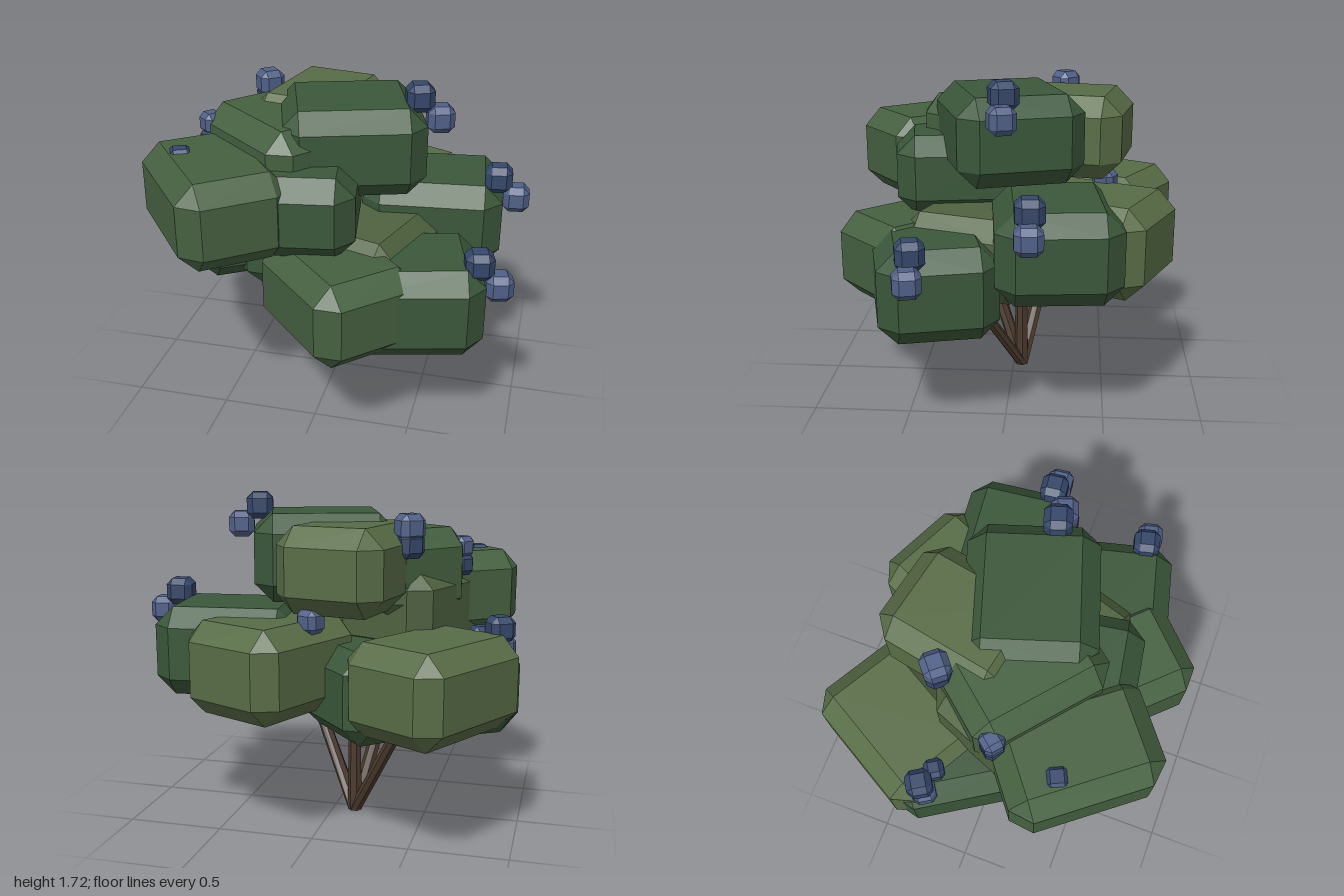
import * as THREE from 'three';
import { ConvexGeometry } from 'three/addons/geometries/ConvexGeometry.js';

const material = (color) => new THREE.MeshStandardMaterial({ color, flatShading: true });
const greens = {
  dark: material(0x3b573a),
  mid: material(0x456040),
  olive: material(0x4f623f),
  light: material(0x586c46),
};
const berryDark = material(0x35476a);
const berryLight = material(0x506088);
const bark = material(0x4a3a2d);

// Box with every edge cut off at 45 degrees, three points per corner
function chamferBox(w, h, d, c) {
  const points = [];
  for (const sx of [-1, 1]) for (const sy of [-1, 1]) for (const sz of [-1, 1]) {
    const x = w / 2, y = h / 2, z = d / 2;
    points.push(
      new THREE.Vector3(sx * x, sy * (y - c), sz * (z - c)),
      new THREE.Vector3(sx * (x - c), sy * y, sz * (z - c)),
      new THREE.Vector3(sx * (x - c), sy * (y - c), sz * z),
    );
  }
  return new ConvexGeometry(points);
}

export function createModel() {
  const group = new THREE.Group();

  // Leaf clumps: x, z, bottom, top, width, depth, yaw in degrees, green
  const clumps = [
    [0.07, 0.015, 1.18, 1.63, 0.73, 0.65, 18, 'dark'],
    [-0.515, 0.45, 0.965, 1.415, 0.56, 0.78, 38, 'mid'],
    [-0.265, 0.09, 1.1, 1.555, 0.74, 0.56, -40, 'mid'],
    [-0.39, 0.11, 0.91, 1.36, 0.58, 0.72, -22, 'olive'],
    [-0.195, 0.3, 0.96, 1.38, 0.74, 0.68, 9, 'dark'],
    [-0.145, -0.255, 1.16, 1.59, 0.57, 0.71, -11, 'light'],
    [-0.6, -0.455, 0.61, 1.07, 0.58, 0.77, -29.5, 'light'],
    [-0.6, -0.17, 0.575, 1.01, 0.61, 0.7, 32, 'dark'],
    [-0.33, -0.23, 0.54, 1.0, 0.74, 0.62, 42, 'dark'],
    [0.225, -0.43, 0.66, 1.13, 0.6, 0.73, -24.5, 'light'],
    [0.48, -0.245, 0.715, 1.17, 0.73, 0.61, 6, 'dark'],
    [0.455, 0.365, 0.5, 0.97, 0.72, 0.59, 14, 'dark'],
    [0.12, 0.495, 0.535, 0.985, 0.56, 0.72, 44, 'mid'],
    [0.21, 0.155, 0.6, 1.035, 0.58, 0.68, -18, 'olive'],
  ];
  const foliage = new THREE.Group();
  foliage.name = 'foliage';
  for (const [x, z, y0, y1, w, d, yaw, green] of clumps) {
    const clump = new THREE.Mesh(chamferBox(w, y1 - y0, d, 0.095), greens[green]);
    clump.name = 'leafClump';
    clump.position.set(x, (y0 + y1) / 2, z);
    clump.rotation.y = THREE.MathUtils.degToRad(yaw);
    foliage.add(clump);
  }
  group.add(foliage);

  // Berries: x, y, z, size, yaw in degrees, material
  const berries = [
    [0.425, 1.65, 0.015, 0.14, 18, berryDark],
    [0.53, 1.55, 0.015, 0.135, 18, berryLight],
    [0.83, 1.195, -0.135, 0.14, 6, berryDark],
    [0.925, 1.095, -0.135, 0.135, 6, berryLight],
    [0.805, 0.975, 0.42, 0.14, 14, berryDark],
    [0.905, 0.87, 0.42, 0.135, 14, berryLight],
    [-0.44, 1.575, -0.27, 0.135, 40, berryLight],
    [-0.44, 1.49, -0.27, 0.13, 40, berryDark],
    [-0.65, 1.45, 0.085, 0.11, -40, berryLight],
    [-0.65, 1.36, 0.085, 0.11, -40, berryDark],
    [-0.695, 1.37, 0.42, 0.12, 25, berryDark],
    [-0.89, 1.085, -0.22, 0.13, 32, berryDark],
    [-0.9, 0.99, -0.2, 0.12, 32, berryLight],
    [-0.79, 1.04, -0.185, 0.1, 32, berryDark],
    [0.0, 1.13, -0.49, 0.12, -24, berryLight],
  ];
  const berryGroup = new THREE.Group();
  berryGroup.name = 'berries';
  for (const [x, y, z, s, yaw, mat] of berries) {
    const berry = new THREE.Mesh(chamferBox(s, s, s, s * 0.23), mat);
    berry.name = 'berry';
    berry.position.set(x, y, z);
    berry.rotation.y = THREE.MathUtils.degToRad(yaw);
    berryGroup.add(berry);
  }
  group.add(berryGroup);

  // Stems fanning out from one foot
  const stems = new THREE.Group();
  stems.name = 'stems';
  const foot = new THREE.Vector3(-0.12, 0, -0.045);
  const tips = [
    [-0.45, 0.65, -0.21],
    [-0.34, 1.0, 0.31],
    [-0.115, 0.7, -0.045],
    [0.22, 0.62, 0.26],
  ];
  for (const tip of tips) {
    const end = new THREE.Vector3(...tip);
    const axis = end.clone().sub(foot);
    const stem = new THREE.Mesh(new THREE.CylinderGeometry(0.032, 0.04, axis.length(), 7), bark);
    stem.name = 'stem';
    stem.position.copy(foot).addScaledVector(axis, 0.5);
    stem.quaternion.setFromUnitVectors(new THREE.Vector3(0, 1, 0), axis.normalize());
    // Keep the tilted foot level with the ground
    const pos = stem.geometry.attributes.position;
    stem.updateMatrix();
    const inverse = stem.matrix.clone().invert();
    const v = new THREE.Vector3();
    for (let i = 0; i < pos.count; i++) {
      v.fromBufferAttribute(pos, i);
      if (v.y > 0) continue;
      v.applyMatrix4(stem.matrix).setY(0).applyMatrix4(inverse);
      pos.setXYZ(i, v.x, v.y, v.z);
    }
    stem.geometry.computeVertexNormals();
    stems.add(stem);
  }
  group.add(stems);

  return group;
}
